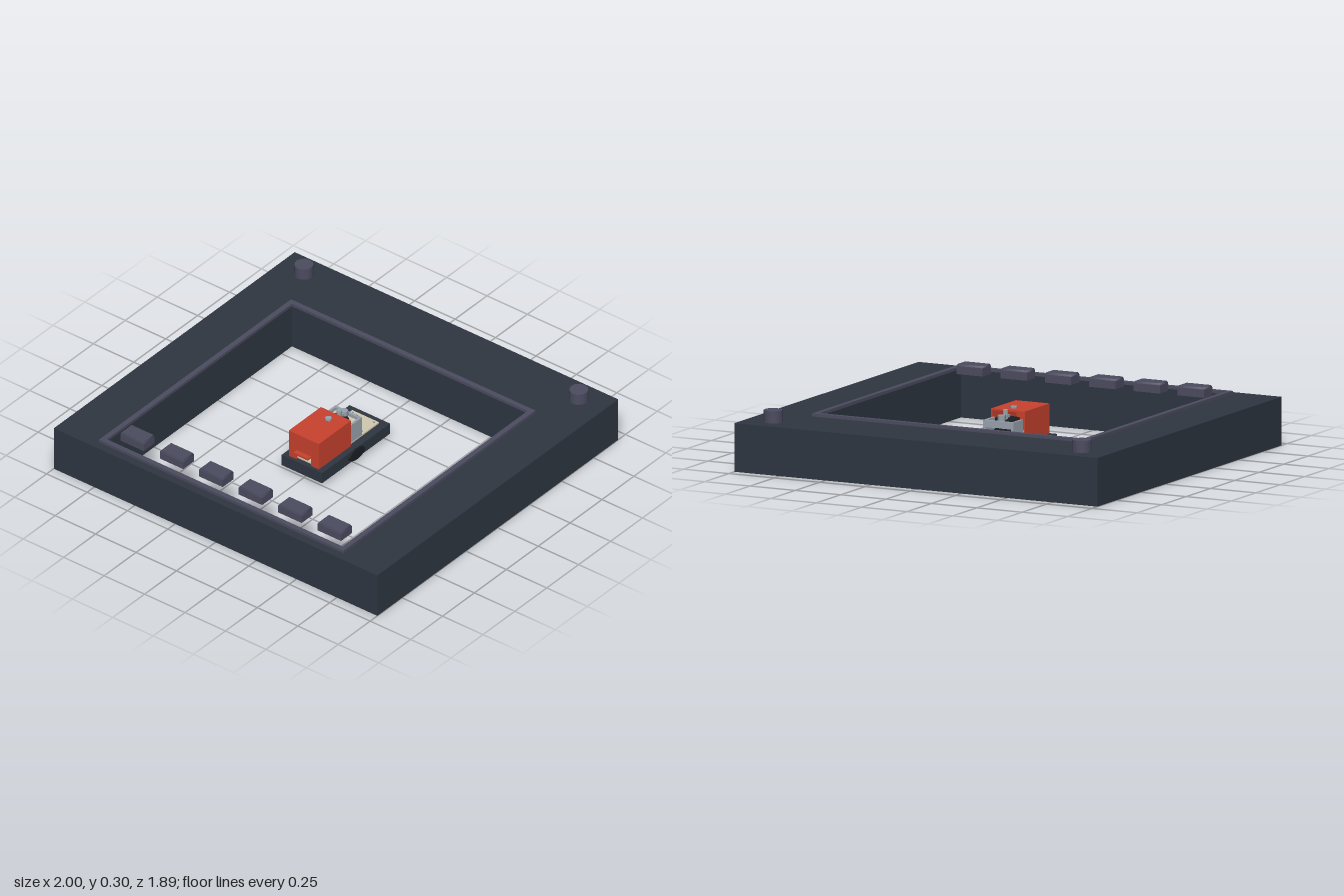
import * as THREE from 'three';

const mat = (name, color) => {
  const m = new THREE.MeshStandardMaterial({ color });
  m.name = name;
  return m;
};

export function createModel() {
  const slate = mat('slate', 0x2e3641);
  const plum = mat('plumGrey', 0x4b4b60);
  const red = mat('red', 0xc8412d);
  const cream = mat('cream', 0xcfc8b0);
  const steel = mat('steel', 0x98a2ac);
  const black = mat('black', 0x1a1e24);

  const model = new THREE.Group();
  const machine = new THREE.Group();
  machine.name = 'machine';
  model.add(machine);

  const add = (parent, name, geo, material, x = 0, y = 0, z = 0) => {
    const mesh = new THREE.Mesh(geo, material);
    mesh.name = name;
    mesh.position.set(x, y, z);
    parent.add(mesh);
    return mesh;
  };
  // Box given by its lower and upper limits
  const box = (parent, name, material, x0, x1, y0, y1, z0, z1) =>
    add(parent, name, new THREE.BoxGeometry(x1 - x0, y1 - y0, z1 - z0), material,
      (x0 + x1) / 2, (y0 + y1) / 2, (z0 + z1) / 2);

  const rect = (P, x0, x1, z0, z1) => {
    const p = new P();
    p.moveTo(x0, -z0).lineTo(x0, -z1).lineTo(x1, -z1).lineTo(x1, -z0).closePath();
    return p;
  };
  // Rectangular ring lying flat
  const ring = (name, material, outer, inner, y0, y1) => {
    const s = rect(THREE.Shape, ...outer);
    s.holes.push(rect(THREE.Path, ...inner));
    const g = new THREE.ExtrudeGeometry(s, { depth: y1 - y0, bevelEnabled: false });
    add(model, name, g.rotateX(-Math.PI / 2), material, 0, y0, 0);
  };

  // Surrounding case and raised trim
  const opening = [-0.73, 0.73, -0.58, 0.875];
  ring('case', slate, [-1, 1, -0.944, 0.944], opening, 0, 0.24);
  ring('openingTrim', plum, [-0.755, 0.755, -0.605, 0.9], [-0.728, 0.728, -0.578, 0.873], 0.24, 0.255);

  // Row of keys with tapered tops
  for (let i = 0; i < 6; i++) {
    const x = (i - 2.5) * 0.244;
    box(model, 'key', plum, x - 0.0725, x + 0.0725, 0.24, 0.28, 0.74, 0.825);
    const cap = new THREE.CylinderGeometry(0.92 * Math.SQRT1_2, Math.SQRT1_2, 0.01, 4, 1);
    cap.rotateY(Math.PI / 4).scale(0.145, 1, 0.085);
    cap.computeVertexNormals();
    add(model, 'keyCap', cap, plum, x, 0.285, 0.7825);
  }

  // Rear knobs
  for (const s of [-1, 1]) {
    add(model, 'knob', new THREE.CylinderGeometry(0.047, 0.047, 0.06, 12), plum, s * 0.85, 0.27, -0.825);
  }

  // Machine base with side hubs and cream deck
  box(machine, 'base', slate, -0.125, 0.125, 0.03, 0.09, -0.265, 0.268);
  for (const s of [-1, 1]) {
    const hub = new THREE.CylinderGeometry(0.06, 0.06, 0.01, 16).rotateZ(Math.PI / 2).scale(1, 0.5, 1);
    add(machine, 'sideHub', hub, black, s * 0.13, 0.062, 0.003);
  }
  box(machine, 'deck', cream, -0.083, 0.083, 0.09, 0.098, -0.232, 0.24);
  for (const [x, z, w] of [[-0.045, -0.208, 0.045], [-0.05, -0.16, 0.03], [-0.05, -0.115, 0.03]]) {
    box(machine, 'deckSlot', black, x - w / 2, x + w / 2, 0.098, 0.1, z - 0.004, z + 0.004);
  }
  for (const x of [-0.065, 0.065]) {
    for (const z of [-0.215, -0.12]) {
      add(machine, 'deckScrew', new THREE.CylinderGeometry(0.005, 0.005, 0.004, 8), steel, x, 0.1, z);
    }
  }

  // Steel carriage: two cheeks, rear bridge and cream inner plate
  for (const s of [-1, 1]) {
    box(machine, 'carriageCheek', steel, s * 0.077 - 0.006, s * 0.077 + 0.006, 0.09, 0.2, -0.1, 0.0);
  }
  box(machine, 'carriageBridge', steel, -0.083, 0.083, 0.165, 0.2, -0.1, -0.086);
  box(machine, 'carriagePlate', cream, -0.071, 0.071, 0.175, 0.183, -0.086, 0);

  // Dark drum with spindle and nuts
  add(machine, 'drum', new THREE.CylinderGeometry(0.062, 0.062, 0.1, 20), black, 0, 0.15, -0.005);
  add(machine, 'rearBoss', new THREE.CylinderGeometry(0.032, 0.032, 0.05, 16).rotateX(Math.PI / 2),
    black, 0, 0.135, -0.083);
  add(machine, 'spindle', new THREE.CylinderGeometry(0.013, 0.013, 0.05, 12), steel, 0, 0.222, -0.025);
  add(machine, 'rearNut', new THREE.CylinderGeometry(0.02, 0.02, 0.03, 6), steel, 0, 0.21, -0.065);
  box(machine, 'spindleArm', steel, -0.01, 0.01, 0.205, 0.22, -0.075, 0);

  // Red hood, open at the back and notched at the front
  const t = 0.008;
  box(machine, 'hoodTop', red, -0.093, 0.093, 0.232, 0.24, 0, 0.252);
  for (const s of [-1, 1]) {
    box(machine, 'hoodSide', red, s * 0.089 - t / 2, s * 0.089 + t / 2, 0.09, 0.232, 0, 0.252);
  }
  const face = new THREE.Shape();
  face.moveTo(-0.085, 0.09).lineTo(-0.045, 0.09).lineTo(-0.045, 0.135).lineTo(0.045, 0.135)
    .lineTo(0.045, 0.09).lineTo(0.085, 0.09).lineTo(0.085, 0.232).lineTo(-0.085, 0.232).closePath();
  add(machine, 'hoodFront', new THREE.ExtrudeGeometry(face, { depth: t, bevelEnabled: false }), red, 0, 0, 0.244);
  box(machine, 'frontLip', red, -0.045, 0.045, 0.135, 0.145, 0.25, 0.278);
  add(machine, 'hoodNut', new THREE.CylinderGeometry(0.018, 0.018, 0.01, 6), steel, 0, 0.245, 0.06);

  // Underside fittings
  box(machine, 'undersideBar', steel, -0.008, 0.008, 0.026, 0.03, -0.12, 0.1);
  for (const z of [-0.07, 0.05]) {
    box(machine, 'undersideStrap', steel, -0.04, 0.04, 0.026, 0.03, z - 0.006, z + 0.006);
  }
  return model;
}
